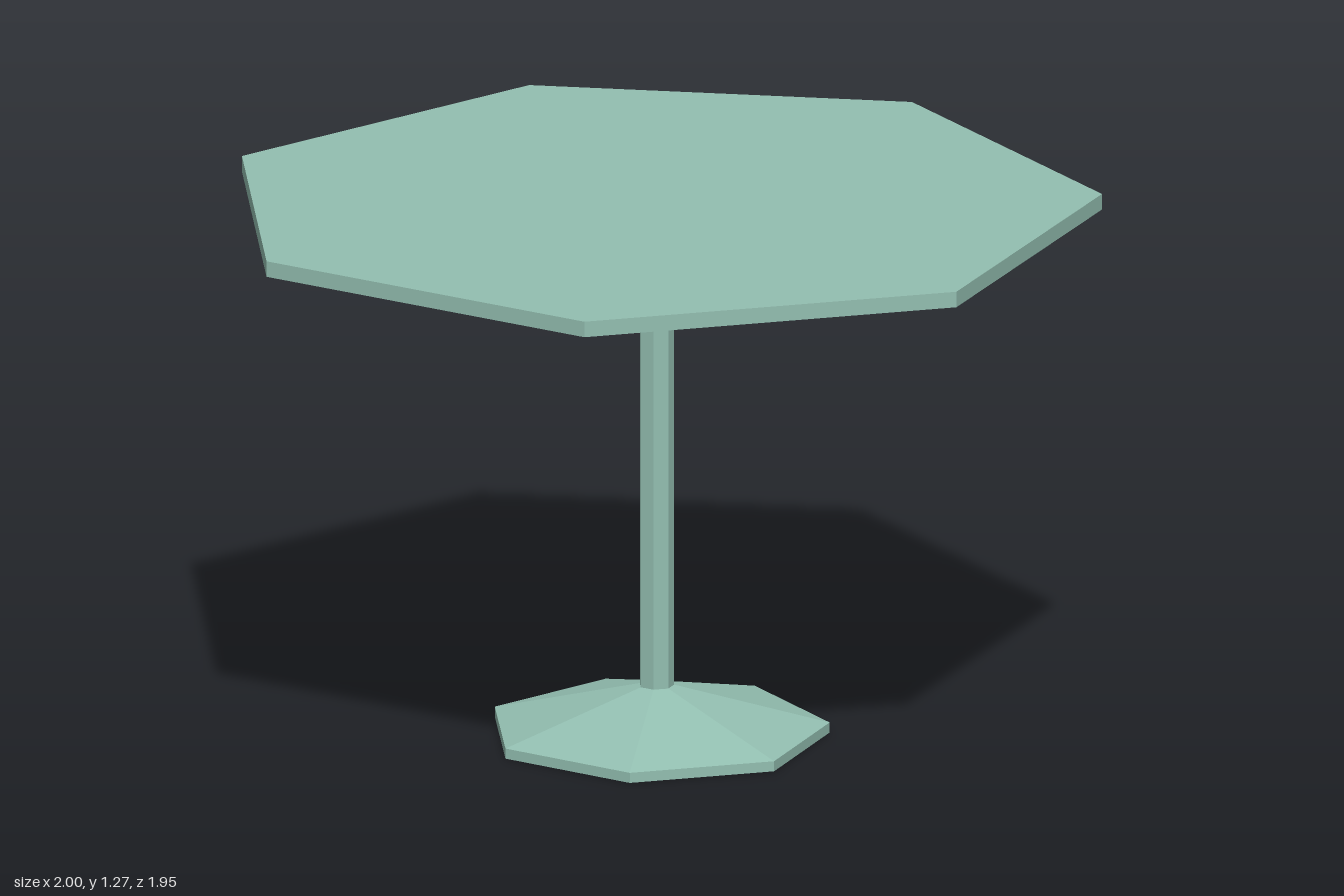
import * as THREE from 'three';

const SIDES = 7;
const CENTRE_Z = 0.053;

export function createModel() {
  const table = new THREE.Group();
  table.name = 'pedestalTable';
  const material = new THREE.MeshStandardMaterial({ color: 0x93bfb1, flatShading: true });

  // Seven-sided tapered section with one corner pointing to the back
  function section(name, yBottom, yTop, rBottom, rTop, openEnded, z = CENTRE_Z) {
    const geometry = new THREE.CylinderGeometry(
      rTop, rBottom, yTop - yBottom, SIDES, 1, openEnded, Math.PI);
    const mesh = new THREE.Mesh(geometry, material);
    mesh.name = name;
    mesh.position.set(0, (yBottom + yTop) / 2, z);
    table.add(mesh);
    return mesh;
  }

  // Foot: thin rim plate and the sloped cover above it, slightly deeper than wide
  const rim = section('baseRim', 0, 0.024, 0.398, 0.398, false);
  const slope = section('baseSlope', 0.024, 0.12, 0.398, 0.041, true);
  for (const part of [rim, slope]) part.scale.z = 1.028;

  // Post and the flared collar at its head
  section('column', 0.12, 1.12, 0.041, 0.041, true);
  section('collar', 1.12, 1.19, 0.041, 0.098, true);

  // Shallow dish that carries the top
  section('topSupport', 1.19, 1.235, 0.098, 0.63, true);

  // Table top
  section('tableTop', 1.235, 1.272, 1.0257, 1.0257, false, 0.051);

  return table;
}
